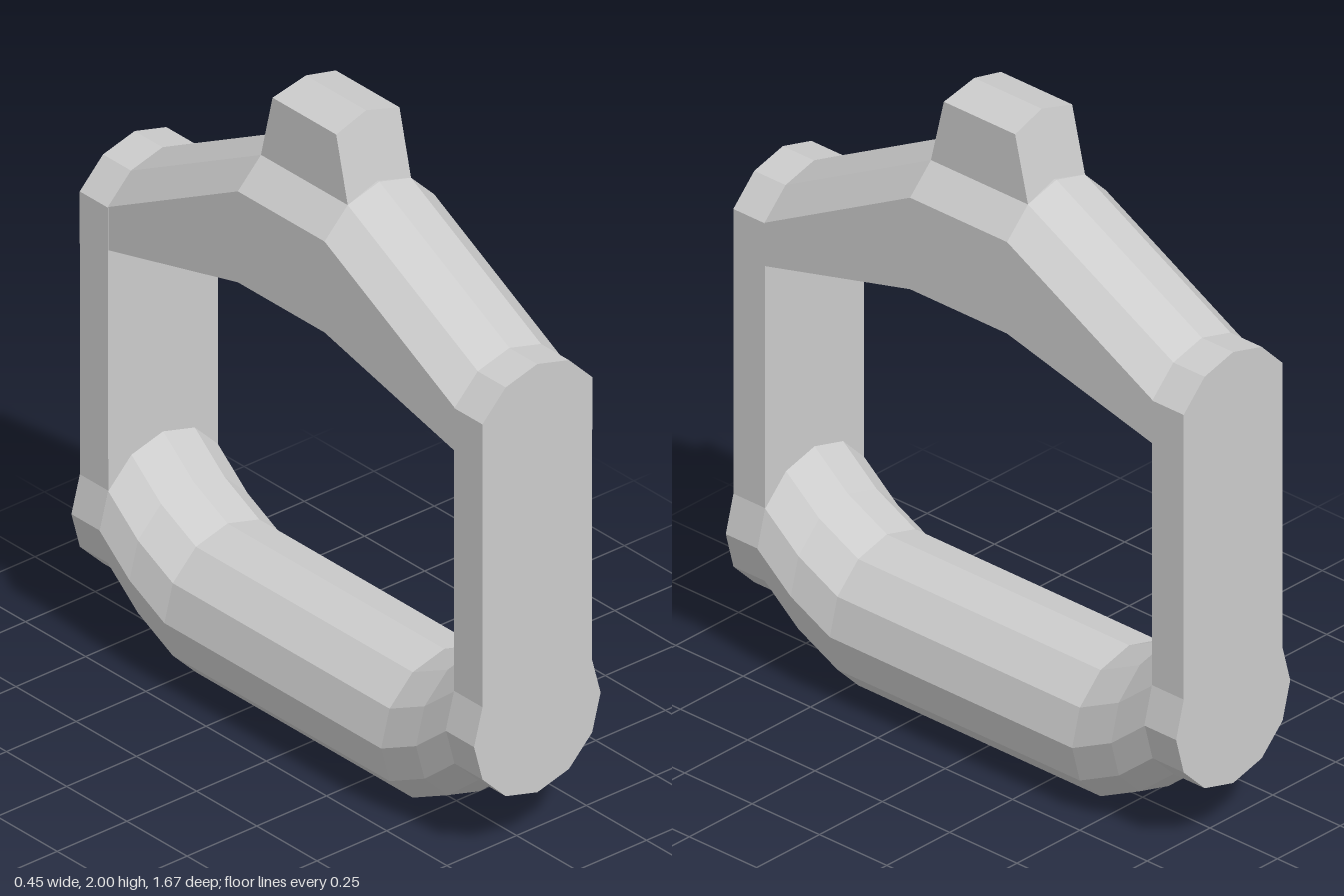
import * as THREE from 'three';

const R = 0.227; // radius of the twelve-sided rounding
const material = new THREE.MeshStandardMaterial({ color: 0xcccccc, flatShading: true });

// Points on a twelve-sided circle, from step a to step b (30 degrees each)
function arc(cy, a, b) {
  const points = [];
  const step = a < b ? 1 : -1;
  for (let i = a; i !== b + step; i += step) {
    const t = (i * Math.PI) / 6;
    points.push(new THREE.Vector2(R * Math.cos(t), cy + R * Math.sin(t)));
  }
  return points;
}

// Open-ended skin through matching xy outlines placed along z
function loft(sections) {
  const positions = [];
  for (let s = 0; s < sections.length - 1; s++) {
    const [p, q] = [sections[s], sections[s + 1]];
    const n = p.outline.length;
    for (let i = 0; i < n; i++) {
      const j = (i + 1) % n;
      const a = [p.outline[i].x, p.outline[i].y, p.z];
      const b = [p.outline[j].x, p.outline[j].y, p.z];
      const c = [q.outline[j].x, q.outline[j].y, q.z];
      const d = [q.outline[i].x, q.outline[i].y, q.z];
      positions.push(...a, ...b, ...c, ...a, ...c, ...d);
    }
  }
  const geometry = new THREE.BufferGeometry();
  geometry.setAttribute('position', new THREE.Float32BufferAttribute(positions, 3));
  geometry.computeVertexNormals();
  return geometry;
}

// Extrusion along z, centred on the given z
function slab(points, depth, z) {
  const geometry = new THREE.ExtrudeGeometry(new THREE.Shape(points), { depth, bevelEnabled: false });
  return geometry.translate(0, 0, z - depth / 2);
}

export function createModel() {
  const group = new THREE.Group();
  const add = (name, geometry) => {
    const mesh = new THREE.Mesh(geometry, material);
    mesh.name = name;
    group.add(mesh);
  };

  // Upright end plates: shallow arched top, bulged round foot
  const plate = [...arc(1.288, 2, 4), ...arc(0.4, 5, 13)];
  plate.unshift(new THREE.Vector2(0.197, 1.4));
  plate.splice(4, 0, new THREE.Vector2(-0.197, 1.4));
  add('frontPlate', slab(plate, 0.118, 0.777));
  add('backPlate', slab(plate, 0.118, -0.777));

  // Bottom grip: round bar with raised ends
  const grip = [[-0.72, 0.4], [-0.595, 0.298], [-0.45, R], [0.45, R], [0.595, 0.298], [0.72, 0.4]];
  add('grip', loft(grip.map(([z, y]) => ({ z, outline: arc(y, 0, 11) }))));

  // Peaked top bar: arched above and hollowed beneath, thicker in the middle
  const bar = [[-0.72, 1.288, 0.135], [-0.18, 1.573, 0.285], [0.18, 1.573, 0.285], [0.72, 1.288, 0.135]];
  add('topBar', loft(bar.map(([z, y, thick]) => ({
    z, outline: [...arc(y, 1, 5), ...arc(y - thick, 5, 1)],
  }))));

  // Knob on the peak: ridged block whose ends lean inwards
  const knob = slab([...arc(1.573, 2, 4), ...arc(1.773, 4, 2)].reverse(), 2, 0);
  const pos = knob.attributes.position;
  for (let i = 0; i < pos.count; i++) {
    const half = THREE.MathUtils.mapLinear(pos.getY(i), 1.77, 2, 0.18, 0.125);
    pos.setZ(i, Math.sign(pos.getZ(i)) * half);
  }
  knob.computeVertexNormals();
  add('knob', knob);

  return group;
}
